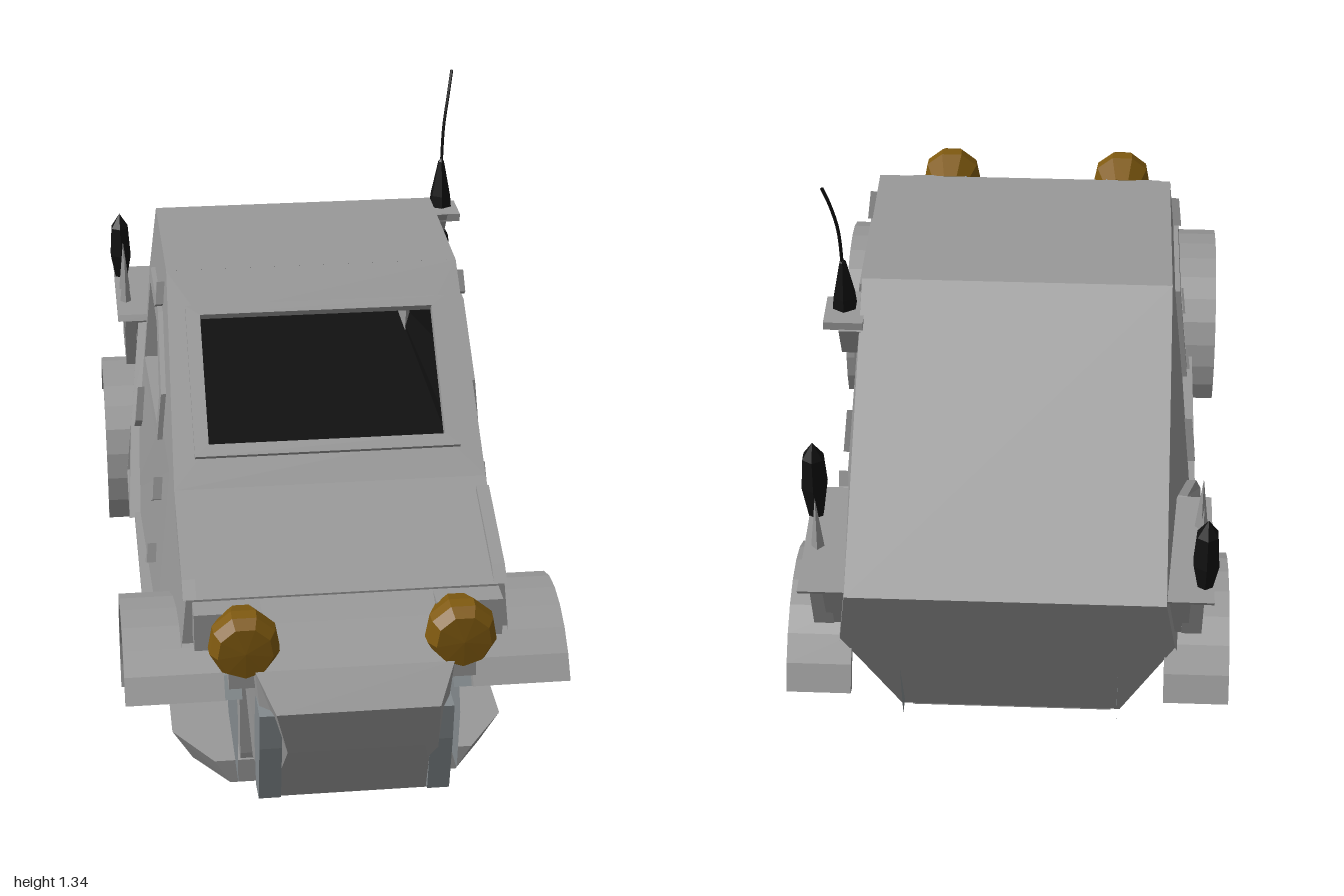
import * as THREE from 'three';

const mat = (name, color) => new THREE.MeshStandardMaterial({ name, color, flatShading: true, side: THREE.DoubleSide });
const grey = mat('bodyGrey', 0x999999);
const wellGrey = mat('wellGrey', 0x838a8d);
const black = mat('black', 0x111111);
const amber = mat('lampAmber', 0x805a10);
const olive = mat('stripeOlive', 0x9c9850);

// Half width of the body sides: leans in with height, tapers to nose and tail
const sideX = (z, y) => 0.43 - 0.1 * (y - 0.27) - 0.06 * Math.max(0, z) - 0.07 * Math.max(0, -0.38 - z);

const vecs = pts => pts.map(p => new THREE.Vector2(...p));
function shapeOf(pts, hole) {
  const s = new THREE.Shape(vecs(pts));
  if (hole) s.holes.push(new THREE.Path(vecs(hole)));
  return s;
}
// Moves every vertex by a rule
function warp(geo, rule) {
  const p = geo.attributes.position;
  for (let i = 0; i < p.count; i++) p.setXYZ(i, ...rule(p.getX(i), p.getY(i), p.getZ(i)));
  geo.computeVertexNormals();
  return geo;
}
// (z, y) outline extruded from x0 to x1
function slab(pts, x0, x1, hole) {
  const g = new THREE.ExtrudeGeometry(shapeOf(pts, hole), { depth: x1 - x0, bevelEnabled: false });
  return g.rotateY(-Math.PI / 2).translate(x1, 0, 0);
}
// (z, y) outline laid on the body side s, moved outwards by off
function sideSkin(s, pts, off, hole, xRule = sideX) {
  const flip = a => a && a.map(([z, y]) => [-s * z, y]);
  return warp(new THREE.ShapeGeometry(shapeOf(flip(pts), flip(hole))),
    (u, y) => [s * (xRule(-s * u, y) + off), y, -s * u]);
}
function quads(list) {
  const pos = [];
  for (const [a, b, c, d] of list) pos.push(...a, ...b, ...c, ...a, ...c, ...d);
  const g = new THREE.BufferGeometry();
  g.setAttribute('position', new THREE.Float32BufferAttribute(pos, 3));
  g.computeVertexNormals();
  return g;
}
// Panels across the car through [z, y, half width] points
function ribbon(pts) {
  const w = p => p[2] ?? sideX(p[0], p[1]);
  return quads(pts.slice(1).map((q, i) => {
    const p = pts[i];
    return [[-w(p), p[1], p[0]], [w(p), p[1], p[0]], [w(q), q[1], q[0]], [-w(q), q[1], q[0]]];
  }));
}
// Arc points in (z, y), angles in degrees from the front
function arc(cz, cy, r, a0, a1, n = 9) {
  return Array.from({ length: n + 1 }, (_, i) => {
    const a = (a0 + (a1 - a0) * i / n) * Math.PI / 180;
    return [cz + r * Math.cos(a), cy + r * Math.sin(a)];
  });
}

export function createModel() {
  const root = new THREE.Group();
  root.name = 'armouredBuggy';
  const add = (name, geo, material, parent = root) => {
    const m = new THREE.Mesh(geo, material);
    m.name = name;
    parent.add(m);
    return m;
  };
  const box = (name, w, h, d, x, y, z, material = grey) =>
    add(name, new THREE.BoxGeometry(w, h, d).translate(x, y, z), material);

  // Top skin
  add('hood', ribbon([[0.76, 0.42], [0.76, 0.53], [0.46, 0.65]]), grey);
  add('roofAndTail', ribbon([[0.05, 1.03], [-0.38, 1.03], [-1, 0.62], [-0.92, 0.42], [-0.765, 0.06, 0.26], [-0.7, 0.01, 0.25]]), grey);

  // Windscreen panel with its raised frame
  const screen = new THREE.Group();
  screen.name = 'windscreen';
  screen.position.set(0, 0.65, 0.46);
  screen.rotation.x = -Math.atan2(0.41, 0.38);
  root.add(screen);
  const wb = sideX(0.46, 0.65), wt = sideX(0.05, 1.03);
  const rect = (w, a, b) => [[-w, a], [w, a], [w, b], [-w, b]];
  const opening = rect(0.278, 0.105, 0.435);
  add('windscreenPanel', new THREE.ShapeGeometry(shapeOf([[-wb, 0], [wb, 0], [wt, 0.559], [-wt, 0.559]], opening)), grey, screen);
  add('windscreenFrame', new THREE.ExtrudeGeometry(shapeOf(rect(0.312, 0.075, 0.46), opening),
    { depth: 0.025, bevelEnabled: false }).translate(0, 0, -0.012), grey, screen);

  // Cabin lining
  add('roofLining', ribbon([[0.05, 1.0, 0.33], [-0.37, 1.0, 0.33], [-0.95, 0.62, 0.33], [-0.93, 0.53, 0.33]]), black);
  add('cabinFloor', ribbon([[0.6, 0.53, 0.36], [-0.93, 0.53, 0.36]]), black);

  // Central tub, floor pan and sills
  add('tub', slab([[0.73, 0.1], [0.72, 0.03], [-0.69, 0.03], [-0.75, 0.06], [-0.91, 0.42], [-0.9, 0.5], [0.74, 0.5]], -0.24, 0.24), grey);
  const pan = [[0.3, 0.735], [0.39, 0.6], [0.39, -0.42], [0.27, -0.72]];
  const panShape = shapeOf([...pan, ...pan.map(([x, z]) => [-x, z]).reverse()]);
  add('floorPan', warp(new THREE.ExtrudeGeometry(panShape, { depth: 0.075, bevelEnabled: false })
    .rotateX(Math.PI / 2).translate(0, 0.085, 0),
  (x, y, z) => [x * (y < 0.04 ? 0.88 : 1), y + (y < 0.04 && z > 0.7 ? 0.015 : 0), z]), grey);
  const sill = [[0.43, 0.24], [0.43, 0.2], [0.395, 0.04], [0.345, 0]];
  add('sills', warp(new THREE.ExtrudeGeometry(shapeOf([...sill, ...sill.map(([x, y]) => [-x, y]).reverse()]),
    { depth: 0.8, bevelEnabled: false }).translate(0, 0, -0.44),
  (x, y, z) => [x, y, z > 0 ? z - 0.25 * Math.max(0, 0.2 - y) : z]), grey);

  // Nose block, undercut at the front
  const rings = [[0.72, 0.72, 0.25, 0.54, 0.09], [0.83, 0.83, 0.235, 0.5, 0.1], [0.93, 0.91, 0.22, 0.44, 0.1], [1, 0.965, 0.18, 0.37, 0.25]]
    .map(([zt, zb, w, t, b]) => [[-w * 0.85, b, zb], [w * 0.85, b, zb], [w, t, zt], [-w, t, zt]]);
  const noseFaces = [rings[3]];
  for (let i = 0; i < 3; i++) for (let j = 0; j < 4; j++) {
    const k = (j + 1) % 4;
    noseFaces.push([rings[i][j], rings[i][k], rings[i + 1][k], rings[i + 1][j]]);
  }
  add('nose', quads(noseFaces), grey);
  const slot = box('bumperSlot', 0.21, 0.018, 0.008, 0.045, 0, 0.738, black);
  slot.position.y = 0.075;
  slot.rotation.z = 0.06;

  const frontArch = arc(0.625, 0.19, 0.235, 55, 160);
  const rearArch = arc(-0.72, 0.19, 0.235, 8, 132);
  const glassHole = [[0.18, 0.69], [0.18, 0.765], [0.04, 0.895], [-0.22, 0.895], [-0.215, 0.69]];

  for (const s of [1, -1]) {
    const side = s > 0 ? 'left' : 'right';
    const part = n => side + n;
    // x range on this side
    const span = (pts, a, b, hole) => s > 0 ? slab(pts, a, b, hole) : slab(pts, -b, -a, hole);
    // Slab following the lean of the body side
    const leaning = (pts, a, b, hole) => warp(span(pts, a, b, hole), (x, y, z) => [x + s * sideX(z, y), y, z]);

    // Side skins
    add(part('HoodSide'), sideSkin(s, [[0.76, 0.53], [0.46, 0.65], [0.36, 0.65], [0.36, 0.22], ...frontArch.slice().reverse(), [0.76, 0.42]], 0), grey);
    add(part('CabSide'), sideSkin(s, [[0.46, 0.65], [0.05, 1.03], [-0.38, 1.03], [-0.38, 0.22], [0.36, 0.22], [0.36, 0.65]], 0, glassHole), grey);
    add(part('RearSide'), sideSkin(s, [[-0.38, 1.03], [-1, 0.62], [-0.92, 0.42], ...rearArch.slice().reverse(), [-0.42, 0.22], [-0.38, 0.22]], 0), grey);
    add(part('SideLining'), sideSkin(s, [[0.46, 0.53], [0.46, 0.61], [0.05, 0.99], [-0.37, 0.99], [-0.92, 0.63], [-0.92, 0.53]], -0.025, glassHole), black);
    add(part('WindowFrame'), leaning([[0.21, 0.66], [0.21, 0.78], [0.05, 0.925], [-0.25, 0.92], [-0.24, 0.66]], -0.03, 0.012, glassHole), grey);

    // Fenders, wheel wells and their inner walls
    for (const [label, cz, a0, a1, inner, w0, w1] of [['Front', 0.625, 30, 203, 0.28, 30, 203], ['Rear', -0.72, -25, 159, 0.355, -25, 132]]) {
      add(part(label + 'Fender'), span([...arc(cz, 0.19, 0.252, a0, a1, 12), ...arc(cz, 0.19, 0.226, a1, a0, 12)], inner, 0.502), grey);
      const strip = arc(cz, 0.19, 0.223, w0, w1, 12);
      add(part(label + 'Well'), quads(strip.slice(1).map(([z, y], i) => {
        const [pz, py] = strip[i];
        return [[s * 0.24, py, pz], [s * 0.48, py, pz], [s * 0.48, y, z], [s * 0.24, y, z]];
      })), wellGrey);
      add(part(label + 'WellWall'), sideSkin(s, [...arc(cz, 0.19, 0.222, 15, 132), [cz - 0.1, 0.08], [cz + 0.19, 0.08]], 0, null, () => 0.252), wellGrey);
    }

    // Sill ledge and stripe
    add(part('SillLedge'), span([[0.36, 0.235], [0.36, 0.26], [-0.43, 0.26], [-0.43, 0.235]], 0.38, 0.44), grey);
    add(part('Stripe'), sideSkin(s, [[0.31, 0.06], [0.31, 0.13], [0.27, 0.145], [-0.37, 0.145], [-0.4, 0.12], [-0.39, 0.06]],
      0.004, null, (z, y) => 0.395 + 0.219 * (y - 0.04)), olive);

    // Brace running from the sill up to the rear rack
    add(part('RearBrace'), leaning([[-0.17, 0.25], [-0.4, 0.47], [-0.62, 0.61], [-0.66, 0.58], [-0.46, 0.44], [-0.43, 0.25]],
      -0.01, 0.022, [[-0.25, 0.27], [-0.4, 0.41], [-0.39, 0.28]]), grey);

    // Rear rack: shelf, tapered bin and ribs
    add(part('RackShelf'), span([[-0.63, 0.61], [-0.64, 0.625], [-0.99, 0.625], [-0.98, 0.61]], 0.34, 0.455), grey);
    add(part('RackBin'), span([[-0.65, 0.61], [-0.96, 0.61], [-0.9, 0.45], [-0.7, 0.45]], 0.34, 0.405), grey);
    for (const z of [-0.68, -0.77, -0.86, -0.94])
      add(part('RackRib'), span([[z - 0.012, 0.62], [z + 0.012, 0.62], [z * 0.7 - 0.226, 0.45], [z * 0.7 - 0.246, 0.45]], 0.39, 0.435), grey);

    // Door hinges and small fittings
    for (const [z, y, h] of [[0.24, 0.54, 0.07], [0.23, 0.36, 0.06], [-0.29, 0.51, 0.12], [0.03, 0.96, 0.07]])
      add(part('Fitting'), leaning([[z - 0.015, y - h / 2], [z + 0.015, y - h / 4], [z, y + h / 2]], -0.01, 0.018), grey);

    // Headlamp, bracket and nose strut
    const lamp = new THREE.LatheGeometry(vecs([[0, 0], [0.052, 0], [0.08, 0.07], [0.078, 0.1], [0.062, 0.128], [0, 0.132]]), 9);
    add(part('Headlamp'), lamp.rotateX(Math.PI / 2).translate(s * 0.24, 0.487, 0.802), amber);
    box(part('LampBracket'), 0.15, 0.09, 0.09, s * 0.27, 0.48, 0.775);
    box(part('LampArm'), 0.07, 0.05, 0.1, s * 0.24, 0.4, 0.84);
    add(part('NoseStrut'), span([[0.97, 0.35], [0.96, 0.26], [0.93, 0.11], [0.86, 0.1], [0.83, 0.2], [0.86, 0.35]], 0.165, 0.215), wellGrey);
    add(part('HoodRail'), span([[0.76, 0.53], [0.72, 0.56], [0.5, 0.645], [0.5, 0.6]], 0.335, 0.365), grey);
  }

  // Rack beacons and small fins
  const beacon = (name, x, z, top) => add(name, new THREE.LatheGeometry(
    vecs([[0, 0.6], [0.018, 0.62], [0.032, top - 0.12], [0.026, top - 0.04], [0, top]]), 6).translate(x, 0, z), black);
  beacon('leftBeacon', 0.44, -0.73, 0.83);
  beacon('rightBeacon', -0.435, -0.93, 0.81);
  for (const [x, z] of [[0.425, -0.84], [-0.43, -0.83], [-0.43, -0.74]])
    add('rackFin', new THREE.ConeGeometry(0.018, 0.17, 4).translate(x, 0.68, z), grey);

  // Antenna on its bracket
  add('antennaBracket', slab([[-0.37, 0.985], [-0.49, 0.96], [-0.45, 0.87], [-0.43, 0.9]], 0.35, 0.4), grey);
  box('antennaShelf', 0.09, 0.02, 0.1, 0.39, 0.97, -0.435);
  add('antennaBase', new THREE.LatheGeometry(vecs([[0, 0.98], [0.03, 0.99], [0.027, 1.02], [0.008, 1.11], [0, 1.12]]), 6)
    .translate(0.39, 0, -0.43), black);
  const whip = new THREE.CatmullRomCurve3([[0.39, 1.08, -0.43], [0.395, 1.2, -0.437], [0.408, 1.28, -0.455], [0.42, 1.34, -0.48]]
    .map(p => new THREE.Vector3(...p)));
  add('antennaWhip', new THREE.TubeGeometry(whip, 10, 0.004, 5), black);

  return root;
}
